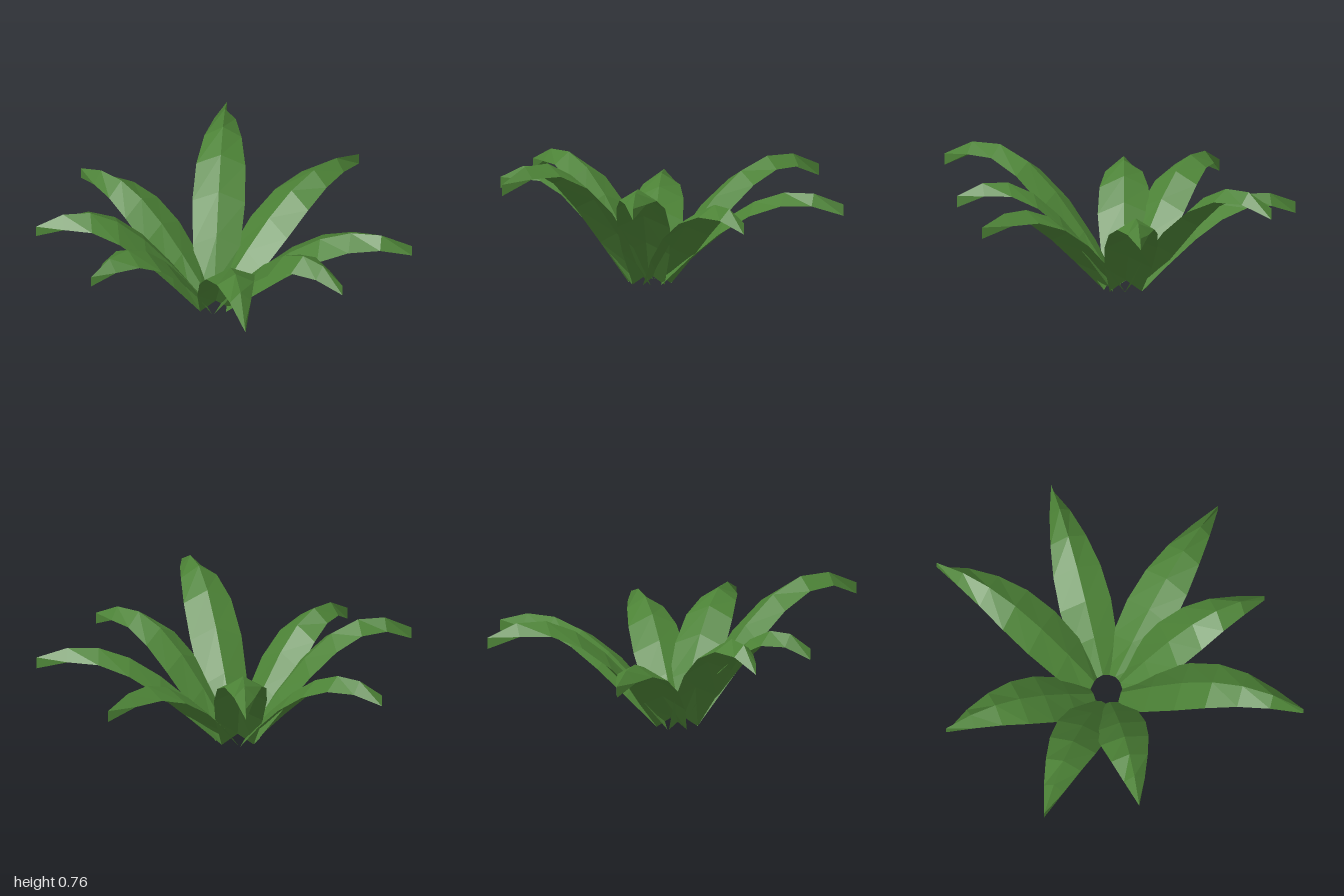
import * as THREE from 'three';

const leafGreen = new THREE.MeshStandardMaterial({ color: 0x4c8236, side: THREE.DoubleSide });
leafGreen.name = 'leafGreen';

const HUB = { x: -0.12, z: -0.01, radius: 0.082 };
const DROP = 0.065; // height of the midrib above the leaf edges
const HALF_WIDTHS = [0.09, 0.133, 0.149, 0.138, 0.105, 0.06, 0];

// Tip position in plan and height of the arch for each leaf
const LEAVES = [
  { x: 0.992, z: -0.05, top: 0.535 },
  { x: 0.66, z: -0.8, top: 0.66 },
  { x: -0.27, z: -0.98, top: 0.52 },
  { x: -0.944, z: -0.583, top: 0.665 },
  { x: -0.998, z: -0.045, top: 0.63 },
  { x: -0.73, z: 0.976, top: 0.76 },
  { x: 0.02, z: 0.94, top: 0.63 },
  { x: 0.634, z: 0.826, top: 0.545 },
];

// Arching leaf along +x with a roof-shaped cross-section: edge, midrib, edge
function leafGeometry(length, top) {
  const segments = HALF_WIDTHS.length - 1;
  const rise = (top - DROP) / Math.sin((Math.PI * 5) / 9);
  const positions = [];
  const index = [];
  HALF_WIDTHS.forEach((w, i) => {
    const t = i / segments;
    const r = HUB.radius + (length - HUB.radius) * t;
    const y = DROP + rise * Math.sin((t * Math.PI * 2) / 3);
    positions.push(r, y - DROP, -w, r, y, 0, r, y - DROP, w);
  });
  for (let i = 0; i < segments; i++) {
    for (let side = 0; side < 2; side++) {
      const a = i * 3 + side;
      index.push(a, a + 1, a + 4, a, a + 4, a + 3);
    }
  }
  const indexed = new THREE.BufferGeometry();
  indexed.setAttribute('position', new THREE.Float32BufferAttribute(positions, 3));
  indexed.setIndex(index);
  const faceted = indexed.toNonIndexed();
  faceted.computeVertexNormals();
  return faceted;
}

export function createModel() {
  const plant = new THREE.Group();
  plant.name = 'leafyPlant';
  // Rosette of leaves around the open centre
  LEAVES.forEach(({ x, z, top }, i) => {
    const dx = x - HUB.x;
    const dz = z - HUB.z;
    const leaf = new THREE.Mesh(leafGeometry(Math.hypot(dx, dz), top), leafGreen);
    leaf.name = `leaf${i + 1}`;
    leaf.position.set(HUB.x, 0, HUB.z);
    leaf.rotation.y = Math.atan2(-dz, dx);
    plant.add(leaf);
  });
  return plant;
}
